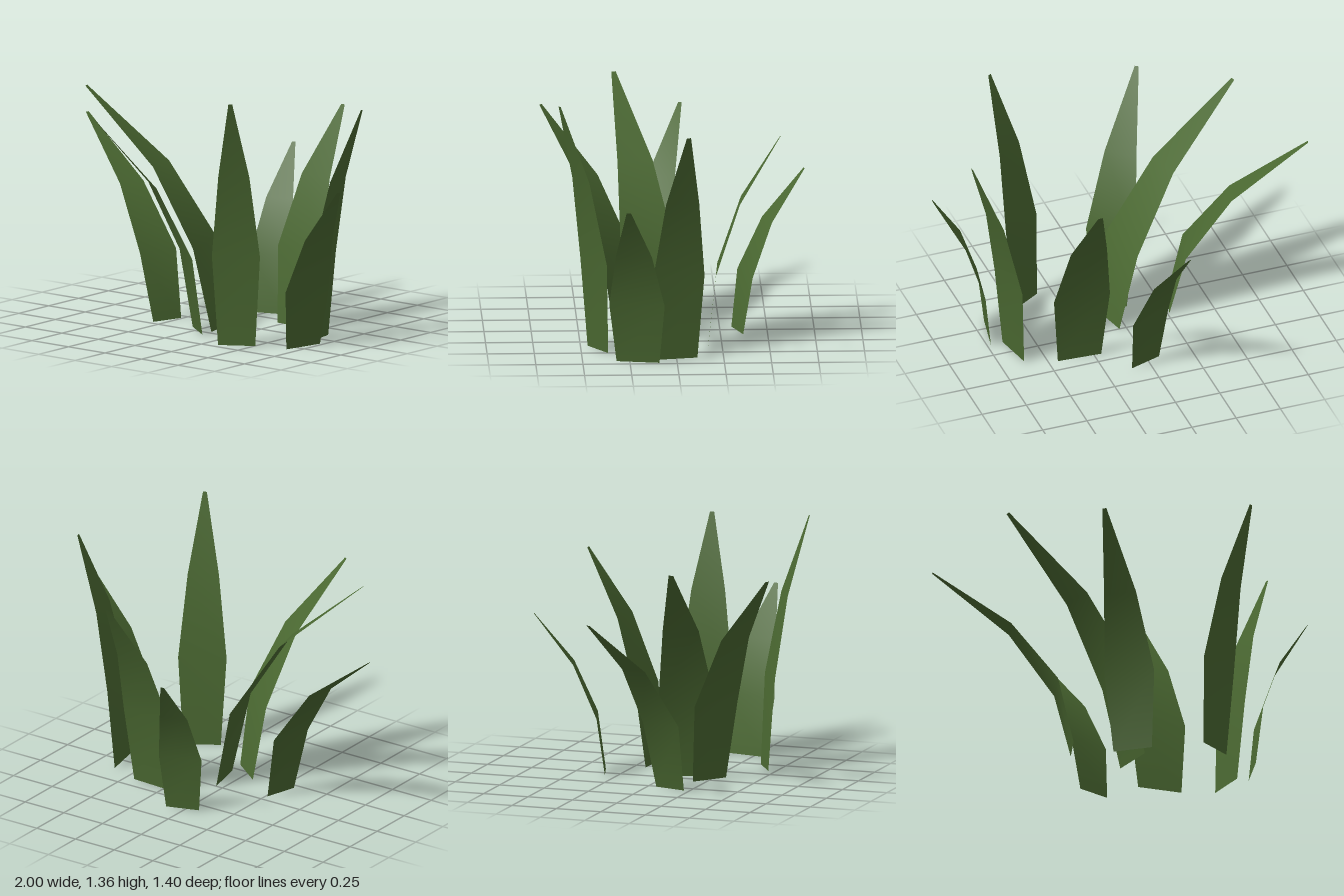
import * as THREE from 'three';

// Cross-sections shared by every blade, from root to tip:
// [height share, outward lean share, half width]
const SECTIONS = [
  [0, 0, 0.12],
  [0.36, 0.115, 0.155],
  [0.69, 0.445, 0.1],
  [1, 1, 0.0125],
];

// Each blade: root x, root z, tip x, tip height, tip z, width scale
const BLADES = [
  [-0.285, 0.132, -1.0, 1.0, -0.072, 0.75],
  [0.065, 0.11, -0.71, 1.24, 0.29, 0.96],
  [0.015, 0.245, -0.315, 1.16, 0.69, 0.88],
  [0.018, -0.342, -0.1, 0.855, -0.7, 0.76],
  [0.33, -0.178, 0.352, 1.14, -0.56, 1.0],
  [0.64, -0.005, 0.892, 1.262, -0.057, 0.9],
  [0.707, 0.207, 0.998, 0.88, 0.265, 0.96],
  [0.418, 0.41, 0.544, 1.355, 0.617, 0.83],
];

// A flat ribbon bent outward along the line from root to tip
function bladeGeometry([rx, rz, tx, height, tz, width]) {
  const dx = tx - rx;
  const dz = tz - rz;
  const reach = Math.hypot(dx, dz);
  const geometry = new THREE.PlaneGeometry(1, 1, 1, SECTIONS.length - 1);
  const position = geometry.attributes.position;
  for (let i = 0; i < position.count; i++) {
    const row = SECTIONS.length - 1 - Math.floor(i / 2);
    const [up, lean, half] = SECTIONS[row];
    const side = (i % 2 ? 1 : -1) * half * width;
    position.setXYZ(
      i,
      rx + dx * lean + (dz / reach) * side,
      height * up,
      rz + dz * lean - (dx / reach) * side,
    );
  }
  geometry.computeVertexNormals();
  return geometry;
}

export function createModel() {
  const group = new THREE.Group();
  group.name = 'grassTuft';

  const leafGreen = new THREE.MeshStandardMaterial({ color: 0x4a6831, side: THREE.DoubleSide });
  leafGreen.name = 'leafGreen';

  BLADES.forEach((blade, i) => {
    const mesh = new THREE.Mesh(bladeGeometry(blade), leafGreen);
    mesh.name = `grassBlade${i + 1}`;
    group.add(mesh);
  });
  return group;
}
